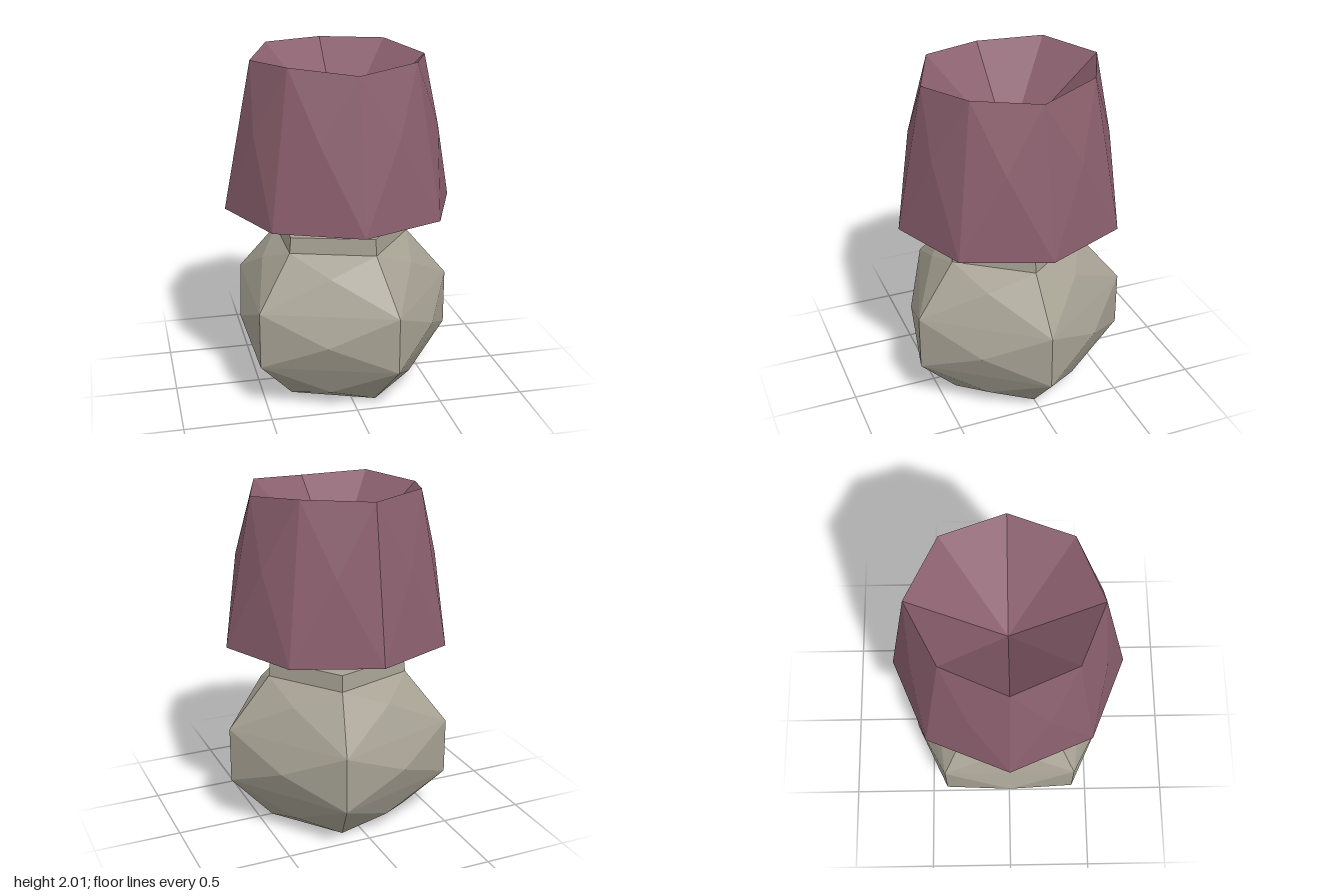
import * as THREE from 'three';

const shadeMat = new THREE.MeshStandardMaterial({ color: 0x8a5f6d, flatShading: true });
const baseMat = new THREE.MeshStandardMaterial({ color: 0xa6a193, flatShading: true });

// Horizontal polygon ring; tilt(x, z) nudges the height of each corner.
function ring(sides, radius, y, tilt = () => 0) {
  return Array.from({ length: sides }, (_, i) => {
    const a = (i / sides) * Math.PI * 2;
    const x = Math.cos(a) * radius, z = Math.sin(a) * radius;
    return new THREE.Vector3(x, y + tilt(x, z), z);
  });
}

// Faceted body: stacked rings, each panel split at a centre point
// (radius and height per band, or null for a flat panel), closed by two fans.
function facetedBody(rings, centres, bottomY, topY) {
  const n = rings[0].length, pos = [];
  const tri = (...pts) => pts.forEach((p) => pos.push(p.x, p.y, p.z));
  const bottom = new THREE.Vector3(0, bottomY, 0);
  const top = new THREE.Vector3(0, topY, 0);
  const last = rings[rings.length - 1];
  for (let i = 0; i < n; i++) {
    const j = (i + 1) % n;
    centres.forEach((centre, k) => {
      const a = rings[k][i], b = rings[k][j], c = rings[k + 1][j], d = rings[k + 1][i];
      if (!centre) {
        tri(a, d, c);
        tri(a, c, b);
        return;
      }
      const t = ((i + 0.5) / n) * Math.PI * 2;
      const m = new THREE.Vector3(Math.cos(t) * centre[0], centre[1], Math.sin(t) * centre[0]);
      tri(a, d, m);
      tri(d, c, m);
      tri(c, b, m);
      tri(b, a, m);
    });
    tri(rings[0][i], rings[0][j], bottom);
    tri(last[j], last[i], top);
  }
  const geo = new THREE.BufferGeometry();
  geo.setAttribute('position', new THREE.Float32BufferAttribute(pos, 3));
  geo.computeVertexNormals();
  return geo;
}

export function createModel() {
  const lamp = new THREE.Group();
  lamp.name = 'tableLamp';
  const add = (name, geo, mat) => {
    const mesh = new THREE.Mesh(geo, mat);
    mesh.name = name;
    lamp.add(mesh);
    return mesh;
  };

  // Five-sided bulging body with a short upright neck
  const body = facetedBody(
    [
      ring(5, 0.42, 0.015, (x) => -0.035 * x),
      ring(5, 0.67, 0.28),
      ring(5, 0.67, 0.61),
      ring(5, 0.42, 0.905),
      ring(5, 0.41, 1.0, (x) => 0.01 * x),
    ],
    [[0.46, 0.1], [0.6, 0.44], [0.46, 0.8], null],
    0.005, 1.02,
  );
  add('base', body, baseMat);

  // Stem between base and shade
  add('stem', new THREE.CylinderGeometry(0.065, 0.065, 0.34, 8), shadeMat).position.y = 1.15;

  // Eight-sided shade, hollowed from above and below, with an uneven rim
  const rim = ring(8, 0.505, 1.983, (x, z) => -0.03 * z - 0.014 * Math.cos(4 * Math.atan2(z, x)));
  rim[6].set(0, 2, -0.535);
  const shade = facetedBody(
    [ring(8, 0.67, 1.117, (x, z) => -0.01 * z), rim],
    [[0.57, 1.6]],
    1.31, 1.5,
  );
  add('shade', shade, shadeMat);

  return lamp;
}
